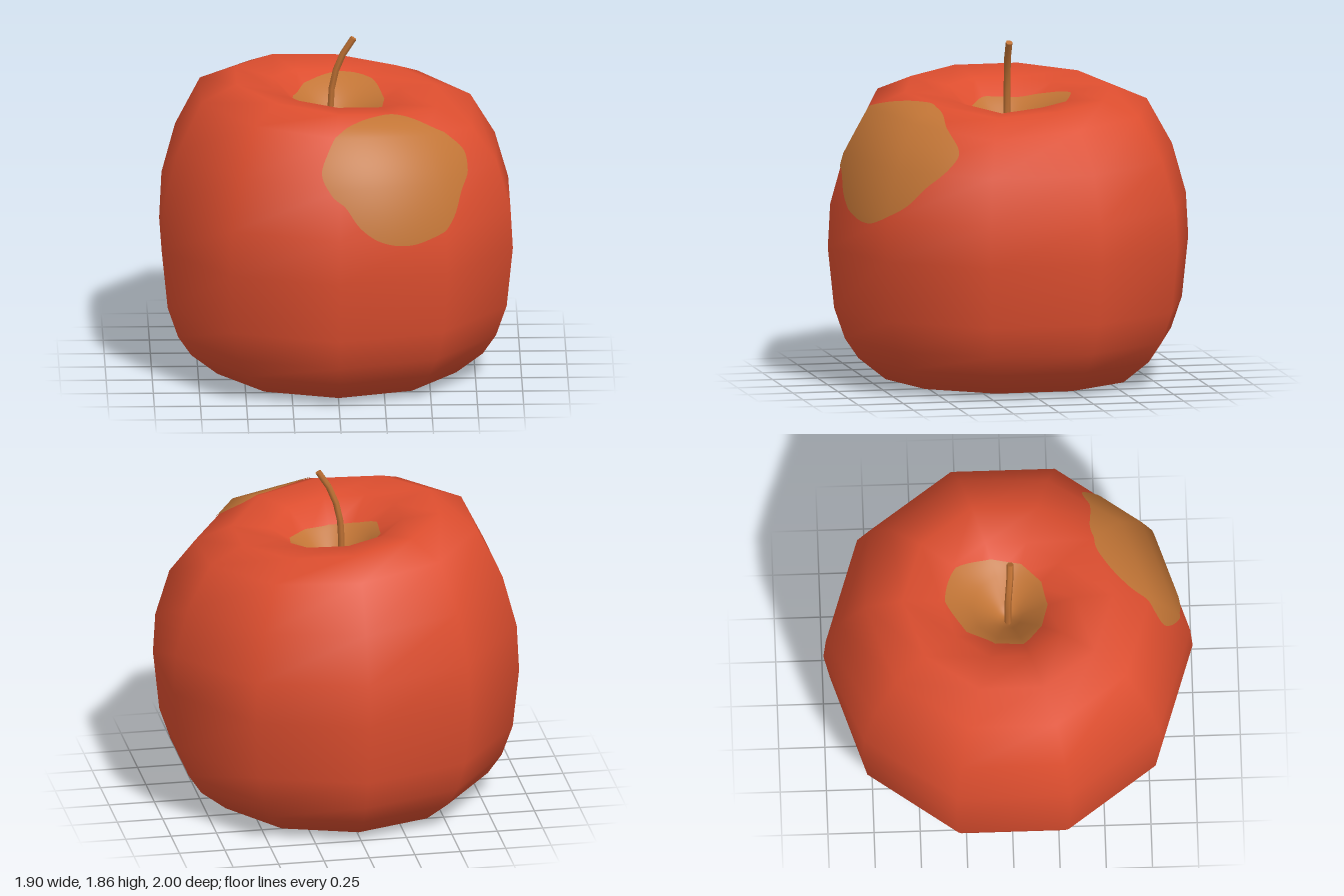
import * as THREE from 'three';

const SIDES = 10;
// Rings from the base, over the shoulder and down into the dimple:
// [radius, height, sideways tilt, dent on one facet corner]
const RINGS = [
  [0.001, 0, 0, 0], [0.68, 0.02, 0, 0], [0.83, 0.14, 0, 0], [0.905, 0.25, 0, 0],
  [0.965, 0.42, 0, 0], [1, 0.75, 0, 0], [0.987, 0.99, -0.02, 0], [0.91, 1.26, -0.035, 0],
  [0.77, 1.51, -0.07, -0.045], [0.57, 1.59, -0.1, -0.025], [0.36, 1.565, -0.1, -0.025],
  [0.2, 1.44, -0.1, 0], [0.08, 1.3, -0.1, 0], [0.001, 1.26, -0.1, 0],
];
const TOP = RINGS.length - 1;
const DENT_CORNER = 2;

// Grid of quads from a point rule f(s, t); normals are optional
function gridGeometry(nu, nv, point, normal, wrap = false) {
  const cols = wrap ? nu : nu + 1;
  const pos = [], nor = [], idx = [];
  for (let j = 0; j <= nv; j++) {
    for (let i = 0; i < cols; i++) {
      pos.push(...point(i / nu, j / nv).toArray());
      if (normal) nor.push(...normal(i / nu, j / nv).toArray());
    }
  }
  for (let j = 0; j < nv; j++) {
    for (let i = 0; i < nu; i++) {
      const k = (i + 1) % cols;
      const a = j * cols + i, b = j * cols + k, c = b + cols, d = a + cols;
      idx.push(a, b, c, a, c, d);
    }
  }
  const geo = new THREE.BufferGeometry();
  geo.setAttribute('position', new THREE.Float32BufferAttribute(pos, 3));
  geo.setIndex(idx);
  if (normal) geo.setAttribute('normal', new THREE.Float32BufferAttribute(nor, 3));
  else geo.computeVertexNormals();
  return geo;
}

// Corner of the ten-sided body
function corner(i, j) {
  const [r, y, tilt, dent] = RINGS[j];
  const a = (i / SIDES) * Math.PI * 2;
  const x = r * Math.sin(a);
  return new THREE.Vector3(x, y + tilt * x + (i % SIDES === DENT_CORNER ? dent : 0), r * Math.cos(a));
}

// Blend a per-corner value over the facet that holds (u, v)
function blend(get, u, v) {
  u = ((u % SIDES) + SIDES) % SIDES;
  const i = Math.floor(u), j = Math.min(Math.floor(v), TOP - 1);
  const k = (i + 1) % SIDES;
  const low = get(i, j).lerp(get(k, j), u - i);
  const high = get(i, j + 1).lerp(get(k, j + 1), u - i);
  return low.lerp(high, v - j);
}

// Filled patch inside a smooth clockwise outline, placed by a mapping rule
function patchGeometry(outline, around, deep, point, normal) {
  const curve = new THREE.CatmullRomCurve3(outline.map(([a, b]) => new THREE.Vector3(a, b, 0)), true);
  const mid = new THREE.Vector3();
  outline.forEach(([a, b]) => mid.add(new THREE.Vector3(a, b, 0)));
  mid.divideScalar(outline.length);
  const at = (s, t) => mid.clone().lerp(curve.getPoint(s % 1), t);
  return gridGeometry(around, deep, (s, t) => point(at(s, t)), (s, t) => normal(at(s, t)));
}

export function createModel() {
  const red = new THREE.MeshStandardMaterial({ color: 0xdd4e2f });
  red.name = 'apple red';
  const tan = new THREE.MeshStandardMaterial({ color: 0xc27536 });
  tan.name = 'russet tan';
  const brown = new THREE.MeshStandardMaterial({ color: 0xbd7033 });
  brown.name = 'stem brown';

  const model = new THREE.Group();
  model.name = 'apple';
  const add = (name, geometry, material) => {
    const mesh = new THREE.Mesh(geometry, material);
    mesh.name = name;
    model.add(mesh);
  };

  // Body
  const body = gridGeometry(SIDES, TOP, (s, t) => corner(Math.round(s * SIDES), Math.round(t * TOP)), null, true);
  add('body', body, red);

  // Points and normals on the skin, lifted slightly for the painted patches
  const normals = body.attributes.normal;
  const skinNormal = (u, v) => blend(
    (i, j) => new THREE.Vector3().fromBufferAttribute(normals, j * SIDES + i), u, v).normalize();
  const skinPoint = (u, v) => blend(corner, u, v).addScaledVector(skinNormal(u, v), 0.006);

  // Russet patch on the front shoulder: [degrees round, ring level]
  const shoulder = [
    [24, 5.8], [15, 5.9], [7, 6.25], [2, 6.67], [-3, 6.9], [-6.6, 7.3], [-4, 7.75], [2, 8.3],
    [9, 8.6], [20, 8.85], [33, 8.95], [43, 8.65], [50, 8.1], [58, 7.5], [55, 7.1], [48, 6.7],
    [42, 6.3], [32.5, 5.97],
  ];
  add('shoulderPatch', patchGeometry(shoulder, 120, 36,
    (p) => skinPoint(p.x / 36, p.y), (p) => skinNormal(p.x / 36, p.y)), tan);

  // Russet lining of the dimple, with an uneven edge
  const edge = new THREE.CatmullRomCurve3(
    [10.88, 10.8, 10.65, 10.5, 10.1, 10.1, 10.45, 10.7, 10.65, 10.85].map((v) => new THREE.Vector3(0, v, 0)), true);
  const lining = (f) => (s, t) => {
    const v = edge.getPoint(s % 1).y;
    return f(s * SIDES, v + (TOP - v) * t);
  };
  add('dimpleLining', gridGeometry(80, 24, lining(skinPoint), lining(skinNormal)), tan);

  // Small blotches under the base: [x, z]
  const blotches = [
    [[0.44, -0.13], [0.43, -0.24], [0.31, -0.31], [0.21, -0.2], [0.07, -0.11], [0.11, -0.03], [0.1, 0.1], [0.24, 0.05]],
    [[-0.01, -0.1], [-0.07, -0.13], [-0.16, -0.08], [-0.22, 0.04], [-0.13, 0.07], [-0.11, -0.02]],
  ];
  blotches.forEach((outline, n) => add(`baseBlotch${n + 1}`, patchGeometry(outline, 48, 4,
    (p) => new THREE.Vector3(p.x, 0.028 * Math.hypot(p.x, p.y) - 0.003, p.y),
    () => new THREE.Vector3(0, -1, 0)), tan));

  // Stem, bent to one side, with a flat cap at its tip
  const path = new THREE.CatmullRomCurve3([
    new THREE.Vector3(-0.03, 1.25, 0), new THREE.Vector3(-0.02, 1.59, 0),
    new THREE.Vector3(0.03, 1.75, 0.01), new THREE.Vector3(0.095, 1.855, 0.015),
  ]);
  add('stem', new THREE.TubeGeometry(path, 6, 0.019, 6), brown);
  const cap = new THREE.CircleGeometry(0.019, 6);
  const end = path.getPoint(1);
  cap.applyQuaternion(new THREE.Quaternion().setFromUnitVectors(new THREE.Vector3(0, 0, 1), path.getTangent(1)));
  cap.translate(end.x, end.y, end.z);
  add('stemTip', cap, brown);

  return model;
}
